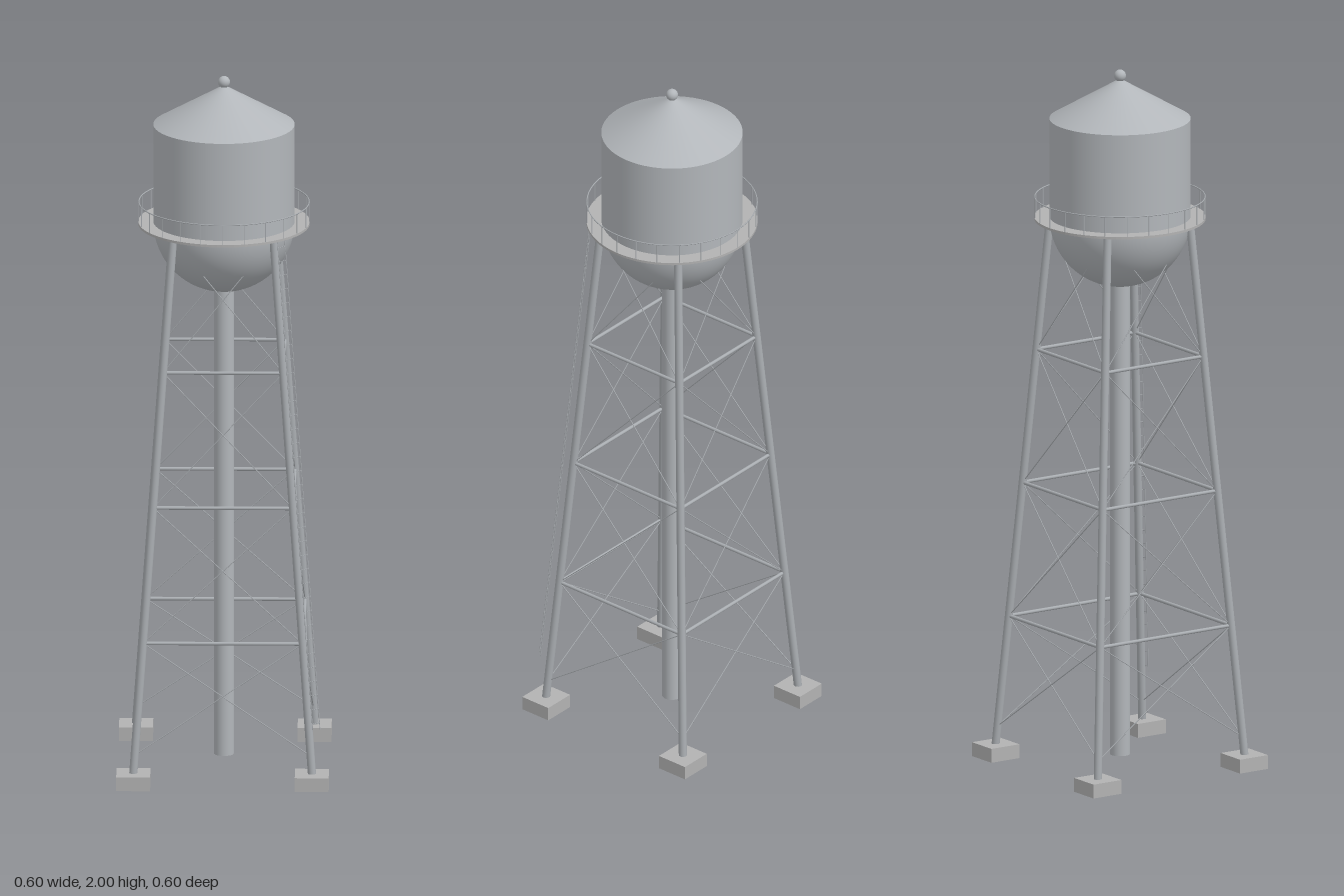
import * as THREE from 'three';

const tankPaint = new THREE.MeshStandardMaterial({ color: 0xb2b6ba });
tankPaint.name = 'tank paint';
const steel = new THREE.MeshStandardMaterial({ color: 0xa9adb1 });
steel.name = 'steel';
const concrete = new THREE.MeshStandardMaterial({ color: 0xb2b2b2 });
concrete.name = 'concrete';

const UP = new THREE.Vector3(0, 1, 0);
const V = (x, y, z) => new THREE.Vector3(x, y, z);

function add(parent, name, geometry, material, x = 0, y = 0, z = 0) {
  const mesh = new THREE.Mesh(geometry, material);
  mesh.name = name;
  mesh.position.set(x, y, z);
  parent.add(mesh);
  return mesh;
}

// Round bar from point a to point b
function bar(parent, name, a, b, radius, sides = 6) {
  const dir = b.clone().sub(a);
  const mesh = add(parent, name, new THREE.CylinderGeometry(radius, radius, dir.length(), sides), steel);
  mesh.position.copy(a).add(b).multiplyScalar(0.5);
  mesh.quaternion.setFromUnitVectors(UP, dir.normalize());
  return mesh;
}

const LEG_BASE = 0.04, LEG_TOP = 1.575;
// Distance of the leg axis from x = 0 and z = 0 at height y
const legAt = (y) => 0.25 - 0.11 * (y - LEG_BASE) / (LEG_TOP - LEG_BASE);

function buildTank() {
  const g = new THREE.Group();
  g.name = 'tank';
  const R = 0.198;
  add(g, 'tankWall', new THREE.CylinderGeometry(R, R, 0.285, 64), tankPaint, 0, 1.7175, 0);
  add(g, 'tankBowl', new THREE.SphereGeometry(R, 64, 20, 0, Math.PI * 2, Math.PI / 2, Math.PI / 2), tankPaint, 0, 1.577, 0);
  add(g, 'roof', new THREE.ConeGeometry(R, 0.115, 64), tankPaint, 0, 1.9175, 0);
  add(g, 'finial', new THREE.SphereGeometry(0.017, 20, 14), tankPaint, 0, 1.983, 0);
  add(g, 'riserPipe', new THREE.CylinderGeometry(0.028, 0.028, 1.38, 24), tankPaint, 0, 0.715, 0);
  return g;
}

function buildBalcony() {
  const g = new THREE.Group();
  g.name = 'balcony';
  const R = 0.24;
  // Ring-shaped walkway
  const ring = new THREE.Shape();
  ring.absarc(0, 0, R, 0, Math.PI * 2, false);
  const hole = new THREE.Path();
  hole.absarc(0, 0, 0.194, 0, Math.PI * 2, true);
  ring.holes.push(hole);
  const floor = new THREE.ExtrudeGeometry(ring, { depth: 0.007, bevelEnabled: false, curveSegments: 48 });
  floor.rotateX(-Math.PI / 2);
  add(g, 'walkway', floor, concrete, 0, 1.57, 0);
  // Railing
  const r = R - 0.0015;
  const rail = new THREE.TorusGeometry(r, 0.0018, 6, 64);
  rail.rotateX(Math.PI / 2);
  add(g, 'handrail', rail, steel, 0, 1.634, 0);
  const posts = 24;
  for (let i = 0; i < posts; i++) {
    const a = (i / posts) * Math.PI * 2;
    const x = r * Math.cos(a), z = r * Math.sin(a);
    bar(g, 'railPost', V(x, 1.574, z), V(x, 1.634, z), 0.0013);
  }
  return g;
}

function buildLegs() {
  const g = new THREE.Group();
  g.name = 'legs';
  for (const sx of [-1, 1]) for (const sz of [-1, 1]) {
    const p = (y) => V(sx * legAt(y), y, sz * legAt(y));
    bar(g, 'leg', p(LEG_BASE - 0.005), p(LEG_TOP), 0.0115, 16);
    add(g, 'footing', new THREE.BoxGeometry(0.095, 0.04, 0.095), concrete, sx * 0.25, 0.02, sz * 0.25);
  }
  return g;
}

function buildBracing() {
  const g = new THREE.Group();
  g.name = 'bracing';
  const levels = [0.09, 0.41, 0.797, 1.183, 1.565];
  for (let side = 0; side < 4; side++) {
    const face = new THREE.Group();
    face.name = 'bracedSide';
    face.rotation.y = side * Math.PI / 2;
    const p = (s, y) => V(s * legAt(y), y, legAt(y));
    // Horizontal struts
    for (const y of levels.slice(1, 4)) bar(face, 'strut', p(-1, y), p(1, y), 0.005, 10);
    // Crossed tie rods
    for (let i = 0; i < 4; i++) for (const s of [-1, 1]) {
      bar(face, 'tieRod', p(s, levels[i]), p(-s, levels[i + 1]), 0.0015);
    }
    g.add(face);
  }
  return g;
}

function buildLadder() {
  const g = new THREE.Group();
  g.name = 'ladder';
  const low = 0.17, high = 1.57, out = 0.022, half = 0.01;
  const p = (s, y) => V(legAt(y) + out + s * half, y, legAt(y) + out - s * half);
  for (const s of [-1, 1]) bar(g, 'ladderRail', p(s, low), p(s, high), 0.0013);
  for (let y = low + 0.02; y < high; y += 0.04) bar(g, 'rung', p(-1, y), p(1, y), 0.0008, 5);
  return g;
}

export function createModel() {
  const model = new THREE.Group();
  model.name = 'waterTower';
  model.add(buildTank(), buildBalcony(), buildLegs(), buildBracing(), buildLadder());
  return model;
}
